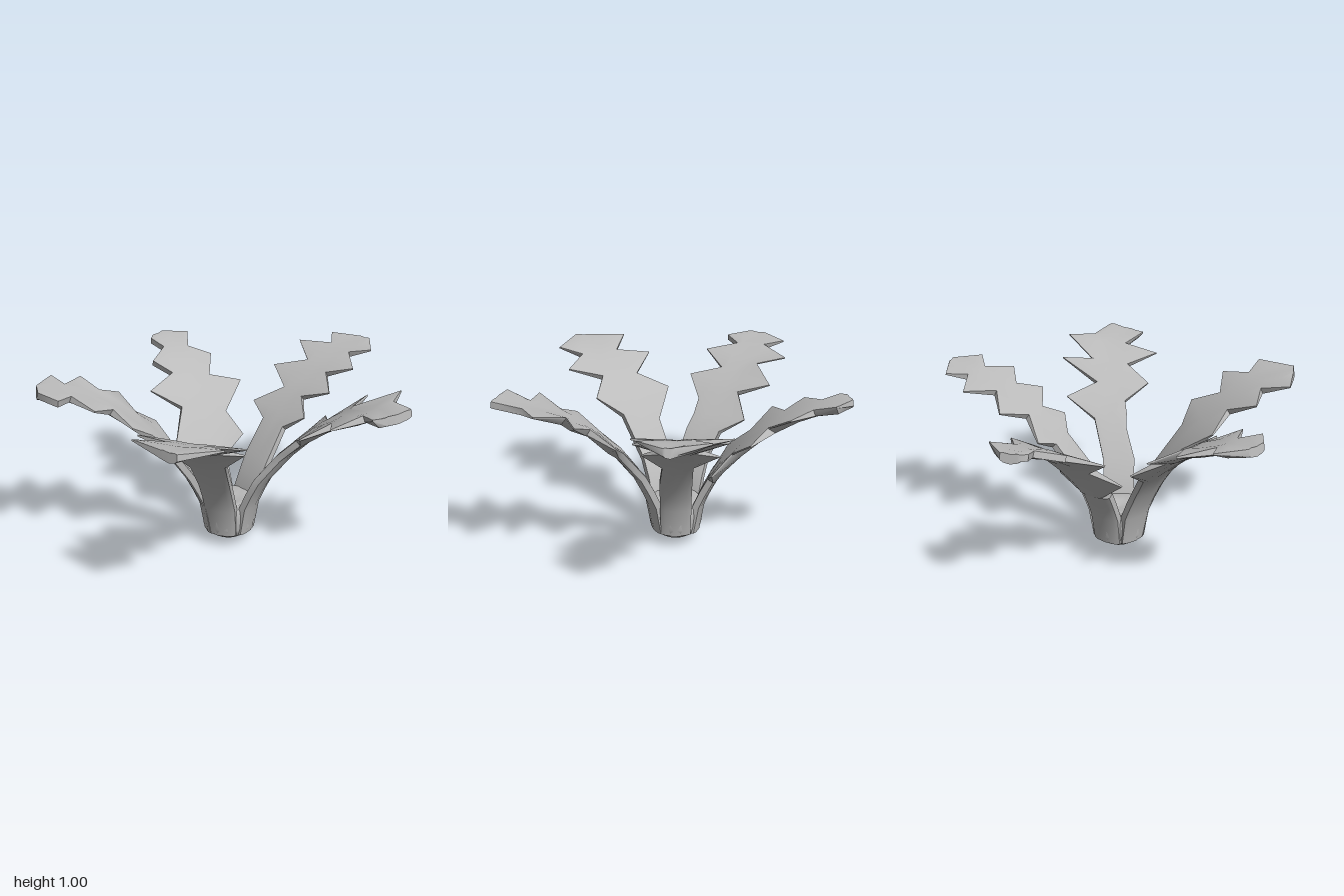
import * as THREE from 'three';
import { toCreasedNormals } from 'three/addons/utils/BufferGeometryUtils.js';

const CX = -0.01, CZ = 0.07; // centre of the plant's base

// Rise of a frond: [distance from centre, height]
const RISE = [[0.11, 0.08], [0.14, 0.25], [0.21, 0.41], [0.32, 0.57], [0.5, 0.75], [0.7, 0.88], [0.9, 0.955], [1.1, 0.985]];
function rise(u) {
  let i = 0;
  while (i < RISE.length - 2 && u > RISE[i + 1][0]) i++;
  const [a, b] = [RISE[i], RISE[i + 1]];
  return a[1] + (b[1] - a[1]) * (u - a[0]) / (b[0] - a[0]);
}

// Leaf edges seen from above, alternating notch and tooth: [left x, left z, right x, right z]
const FRONDS = {
  backFrond: { axis: [-0.01, -1], drop: 0, rows: [
    [-0.11, -0.29, 0.06, -0.29], [-0.25, -0.34, 0.17, -0.36], [-0.11, -0.45, 0.05, -0.44],
    [-0.30, -0.54, 0.21, -0.51], [-0.12, -0.64, 0.07, -0.61], [-0.31, -0.75, 0.21, -0.69],
    [-0.11, -0.82, 0.06, -0.80], [-0.20, -0.91, 0.17, -0.87], [-0.03, -0.98, 0.04, -0.99]] },
  leftFrond: { axis: [0.92, -0.36], drop: 0, rows: [
    [0.29, -0.20, 0.32, -0.01], [0.32, -0.39, 0.38, -0.03], [0.46, -0.25, 0.43, -0.06],
    [0.52, -0.50, 0.56, 0.04], [0.58, -0.33, 0.63, -0.12], [0.72, -0.54, 0.76, 0.02],
    [0.79, -0.40, 0.78, -0.19], [0.94, -0.36, 0.91, -0.12], [0.96, -0.35, 0.93, -0.18]] },
  rightFrond: { axis: [-0.95, -0.2], drop: 0.03, rows: [
    [-0.23, 0.06, -0.21, -0.09], [-0.34, 0.20, -0.23, -0.21], [-0.45, 0.07, -0.34, -0.17],
    [-0.58, 0.20, -0.43, -0.36], [-0.63, 0.00, -0.53, -0.20], [-0.74, 0.06, -0.64, -0.30],
    [-0.82, -0.08, -0.76, -0.22], [-0.92, -0.06, -0.87, -0.30], [-0.95, -0.09, -0.97, -0.19]] },
  frontRightFrond: { axis: [-0.46, 0.89], drop: 0, rows: [
    [-0.08, 0.39, -0.27, 0.30], [-0.12, 0.44, -0.42, 0.30], [-0.15, 0.51, -0.38, 0.46],
    [-0.10, 0.67, -0.57, 0.44], [-0.29, 0.66, -0.50, 0.61], [-0.20, 0.83, -0.67, 0.62],
    [-0.39, 0.85, -0.55, 0.79], [-0.33, 0.96, -0.67, 0.80], [-0.47, 1.00, -0.57, 0.95]] },
  frontLeftFrond: { axis: [0.53, 0.85], drop: 0, rows: [
    [0.31, 0.35, 0.10, 0.42], [0.47, 0.36, 0.05, 0.61], [0.44, 0.53, 0.24, 0.63],
    [0.64, 0.49, 0.17, 0.81], [0.57, 0.66, 0.37, 0.78], [0.71, 0.68, 0.33, 0.95],
    [0.63, 0.90, 0.53, 0.92]] },
};

function frondGeometry({ axis, drop, rows }) {
  const len = Math.hypot(...axis), ax = axis[0] / len, az = axis[1] / len;
  // world x, z to along (u) and across (v) the frond
  const local = (x, z) => [(x - CX) * ax + (z - CZ) * az, -(x - CX) * az + (z - CZ) * ax];
  const place = (u, v, off) => {
    const s = (rise(u + 0.03) - rise(u - 0.03)) / 0.06, n = Math.hypot(s, 1);
    const uu = u - off * s / n;
    const y = rise(u) - drop * Math.max(0, u) + off / n;
    return [CX + uu * ax - v * az, y, CZ + uu * az + v * ax];
  };
  // plain stem stations, then the toothed leaf
  const stations = [[0.11, 0.085], [0.14, 0.09], [0.18, 0.09], [0.23, 0.092]]
    .map(([u, w]) => [[u, -w], [u, w]]);
  for (const [lx, lz, rx, rz] of rows) stations.push([local(lx, lz), local(rx, rz)]);

  const pos = [], idx = [], N = 10;
  for (const [L, R] of stations) {
    const mid = [(L[0] + R[0]) / 2, (L[1] + R[1]) / 2];
    const inner = (e) => {
      const k = Math.min(0.7, 0.085 / Math.abs(e[1] - mid[1]));
      return [mid[0] + (e[0] - mid[0]) * k, mid[1] + (e[1] - mid[1]) * k];
    };
    const tooth = (e) => Math.abs(e[1]) > 0.15;
    const edge = (e) => [...e, tooth(e) ? 0.004 : 0.018, tooth(e) ? 0.025 : 0.004];
    const across = [edge(L), [...inner(L), 0.025, 0], [...mid, 0.026, -0.006], [...inner(R), 0.025, 0], edge(R)];
    for (const [u, v, t, lift] of across) pos.push(...place(u, v, lift + t));
    for (const [u, v, t, lift] of across.reverse()) pos.push(...place(u, v, lift - t));
  }
  for (let j = 0; j < stations.length - 1; j++) {
    for (let i = 0; i < N; i++) {
      const a = j * N + i, b = j * N + (i + 1) % N;
      idx.push(a, b, b + N, a, b + N, a + N);
    }
  }
  // close the tip with strips between its upper and lower edges
  const e = (stations.length - 1) * N;
  for (let i = 0; i < 4; i++) {
    const a = e + i, b = e + i + 1, c = e + 8 - i, d = e + 9 - i;
    idx.push(a, b, c, a, c, d);
  }
  const g = new THREE.BufferGeometry();
  g.setAttribute('position', new THREE.Float32BufferAttribute(pos, 3));
  g.setIndex(idx);
  return toCreasedNormals(g, 0.9);
}

export function createModel() {
  const group = new THREE.Group();
  group.name = 'plant';
  const grey = new THREE.MeshStandardMaterial({ color: 0xbbbbbb });
  grey.name = 'plainGrey';

  // rounded base with a pointed underside
  const profile = [[0, 0], [0.08, 0.032], [0.138, 0.07], [0.15, 0.11], [0.158, 0.18], [0.155, 0.23], [0.135, 0.265], [0.07, 0.25], [0, 0.24]];
  const bulb = new THREE.Mesh(
    new THREE.LatheGeometry(profile.map(([r, y]) => new THREE.Vector2(r, y)), 15), grey);
  bulb.name = 'base';
  bulb.position.set(CX, 0, CZ);
  group.add(bulb);

  for (const [name, data] of Object.entries(FRONDS)) {
    const frond = new THREE.Mesh(frondGeometry(data), grey);
    frond.name = name;
    group.add(frond);
  }
  return group;
}
